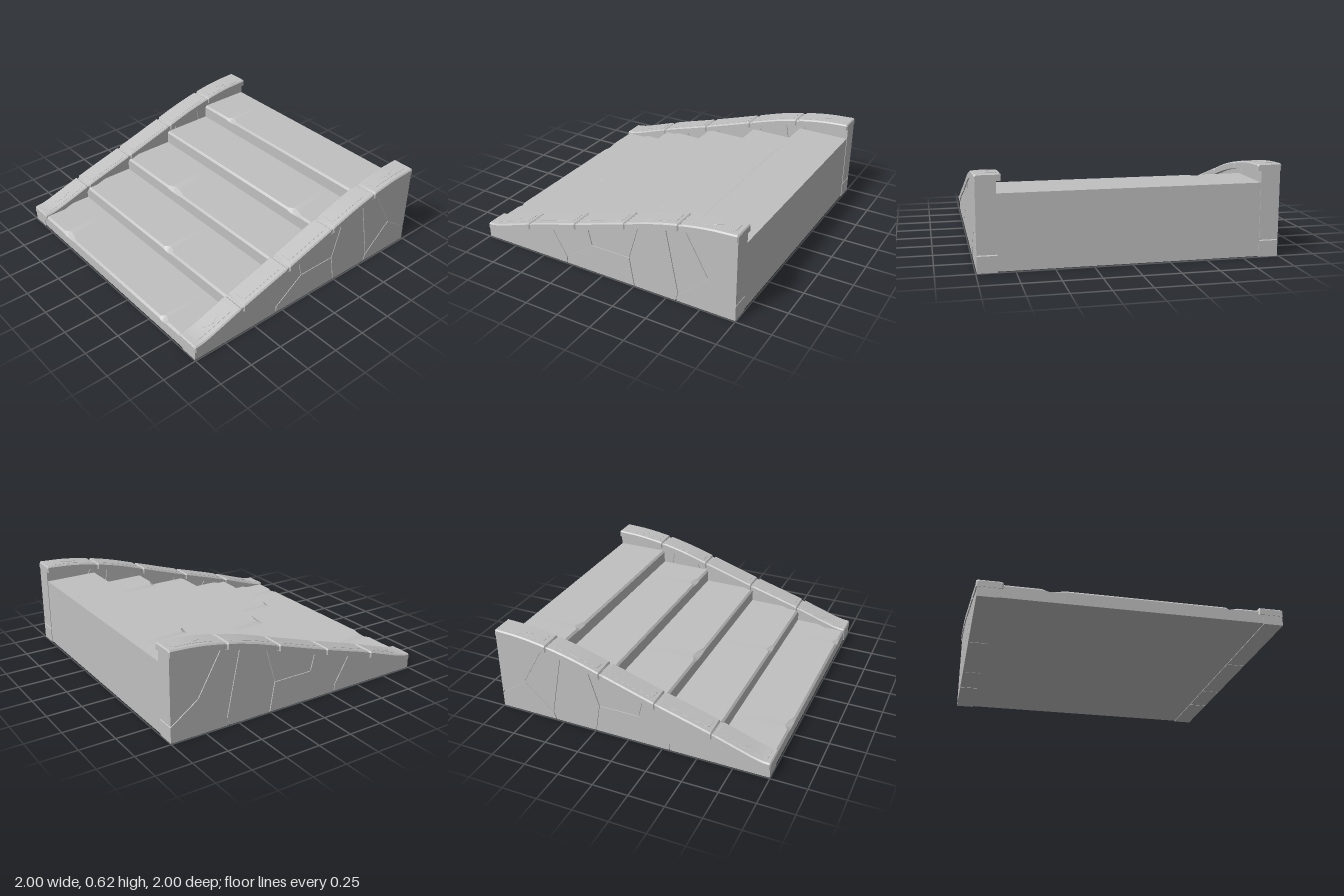
import * as THREE from 'three';
import { toCreasedNormals } from 'three/addons/utils/BufferGeometryUtils.js';

// Height of the balustrade top along z
const rail = new THREE.CubicInterpolant(
  [-1, -0.8, -0.6, -0.4, -0.2, 0.2, 0.6, 0.8, 0.9, 0.95, 1],
  [0.625, 0.613, 0.582, 0.535, 0.473, 0.347, 0.227, 0.16, 0.128, 0.117, 0.113], 1);
const railY = z => rail.evaluate(z)[0];

// Solid skin through a row of closed cross-sections
function loft(sections) {
  const pos = [], n = sections[0].length;
  const tri = (a, b, c) => pos.push(...a, ...b, ...c);
  for (let i = 0; i < sections.length - 1; i++) {
    for (let j = 0; j < n; j++) {
      const k = (j + 1) % n, s = sections[i], t = sections[i + 1];
      tri(s[j], s[k], t[k]);
      tri(s[j], t[k], t[j]);
    }
  }
  const first = sections[0], last = sections[sections.length - 1];
  for (let j = 1; j < n - 1; j++) {
    tri(first[0], first[j + 1], first[j]);
    tri(last[0], last[j], last[j + 1]);
  }
  const g = new THREE.BufferGeometry();
  g.setAttribute('position', new THREE.Float32BufferAttribute(pos, 3));
  return toCreasedNormals(g, 0.5);
}

// Chamfered bar section at z, centred on x = 0
function barSection(z, w, top, bottom, b) {
  return [[w, bottom, z], [w, top - b, z], [w - b, top, z],
    [b - w, top, z], [-w, top - b, z], [-w, bottom, z]];
}

// Bar following the rail curve, its ends chamfered by e
function railBar(z0, z1, w, rise, depth, b, e) {
  const sections = [], steps = 10;
  const add = (z, s) => {
    const y = railY(z) + rise;
    sections.push(barSection(z, w - s, y - s, y - depth, b));
  };
  add(z0, e);
  for (let i = 0; i <= steps; i++) add(z0 + e + (z1 - z0 - 2 * e) * i / steps, 0);
  add(z1, e);
  return loft(sections);
}

// Thin plate on the rail top; outline lists [z, half width]
function railPlate(outline, rise) {
  return loft(outline.map(([z, w]) =>
    barSection(z, w, railY(z) + rise, railY(z) - 0.006, 0.0005)));
}

// One step with a chamfered and chipped front edge
function stepGeometry(front, back, top, chips) {
  const half = 0.866, cuts = [[-half, 0.014, 0.014]];
  for (const [x, h] of chips) {
    cuts.push([x - h, 0.014, 0.014], [x - h * 0.4, 0.043, 0.022],
      [x + h * 0.4, 0.034, 0.02], [x + h, 0.014, 0.014]);
  }
  cuts.push([half, 0.014, 0.014]);
  return loft(cuts.map(([x, c, d]) => [[x, 0.005, back], [x, top, back],
    [x, top, front - c], [x, top - d, front], [x, 0.005, front]]));
}

// Points along the underside of the rail
function underRail(z0, z1, count = 12) {
  return Array.from({ length: count + 1 }, (_, i) => {
    const z = z0 + (z1 - z0) * i / count;
    return [z, railY(z) - 0.044];
  });
}

// Shrinks an outline by d to open a joint around it
function inset(points, d) {
  const p = points.map(q => new THREE.Vector2(...q));
  if (THREE.ShapeUtils.area(p) < 0) p.reverse();
  return p.map((q, i) => {
    const a = q.clone().sub(p[(i + p.length - 1) % p.length]).normalize();
    const b = p[(i + 1) % p.length].clone().sub(q).normalize();
    const na = new THREE.Vector2(-a.y, a.x), nb = new THREE.Vector2(-b.y, b.x);
    const m = na.clone().add(nb).multiplyScalar(d / (1 + na.dot(nb)));
    const r = q.clone().add(m);
    if (q.y === 0) r.y = 0;
    return r;
  });
}

// Slab from a (z, y) outline, thickness centred on x = 0
function slab(points, thickness) {
  const g = new THREE.ExtrudeGeometry(new THREE.Shape(points),
    { depth: thickness, bevelEnabled: false });
  g.translate(0, 0, -thickness / 2);
  return g.rotateY(-Math.PI / 2);
}

export function createModel() {
  const model = new THREE.Group();
  model.name = 'stoneStaircase';
  const stone = new THREE.MeshStandardMaterial({ color: 0xc0c0c0 });
  stone.name = 'grey stone';
  const add = (parent, name, geometry, x = 0) => {
    const mesh = new THREE.Mesh(geometry, stone);
    mesh.name = name;
    mesh.position.x = x;
    parent.add(mesh);
  };

  // Steps, with [x, half width] of each chip
  const chips = [[[-0.52, 0.075], [0.65, 0.04]], [[0.19, 0.05]],
    [[-0.25, 0.09]], [[0.62, 0.065]], [[-0.53, 0.055]]];
  const fronts = [0.993, 0.605, 0.205, -0.195, -0.595, -0.993];
  chips.forEach((c, i) => add(model, 'step' + (i + 1),
    stepGeometry(fronts[i], fronts[i + 1], 0.1 * (i + 1), c)));

  // Side wall stones as (z, y) outlines
  const stones = [
    [...underRail(0.41, 1), [1, 0], [0.3, 0], [0.3, 0.05]],
    [...underRail(0.11, 0.41), [0.3, 0.05], [0.08, 0.21]],
    [[0.3, 0], [-0.25, 0], [-0.215, 0.21], [0.08, 0.21], [0.3, 0.05]],
    [...underRail(-0.29, 0.11), [0.08, 0.21], [-0.215, 0.21]],
    [...underRail(-0.495, -0.29), [-0.215, 0.21], [-0.25, 0], [-0.565, 0], [-0.585, 0.055]],
    [...underRail(-0.635, -0.495), [-0.585, 0.055], [-0.8, 0.25]],
    [...underRail(-1, -0.635), [-0.8, 0.25], [-1, 0.11]],
    [[-1, 0], [-0.565, 0], [-0.585, 0.055], [-0.8, 0.25], [-1, 0.11]],
  ];
  const core = [...underRail(-0.988, 0.988, 40), [0.988, 0.005], [-0.988, 0.005]]
    .map(q => new THREE.Vector2(...q));
  const joints = [-1, -0.595, -0.195, 0.205, 0.605, 1];

  for (const side of [1, -1]) {
    const wall = new THREE.Group();
    wall.name = side > 0 ? 'leftBalustrade' : 'rightBalustrade';
    model.add(wall);
    add(wall, 'wallCore', slab(core, 0.116), side * 0.927);
    for (const s of stones) add(wall, 'wallStone', slab(inset(s, 0.003), 0.13), side * 0.927);
    add(wall, 'copingBed', railBar(-0.99, 0.99, 0.077, -0.009, 0.036, 0.006, 0.002), side * 0.915);

    // Coping stones with raised panels, and diamonds on the end stones
    for (let i = 0; i < 5; i++) {
      const z0 = joints[i] + (i ? 0.008 : 0), z1 = joints[i + 1] - (i < 4 ? 0.008 : 0);
      const mid = (z0 + z1) / 2;
      add(wall, 'copingStone', railBar(z0, z1, 0.085, 0, 0.048, 0.009, 0.008), side * 0.915);
      const panel = [[mid - 0.16, 0.036], [mid - 0.145, 0.052]];
      for (let k = 1; k < 8; k++) panel.push([mid - 0.145 + 0.29 * k / 8, 0.052]);
      panel.push([mid + 0.145, 0.052], [mid + 0.16, 0.036]);
      add(wall, 'copingPanel', railPlate(panel, 0.002), side * 0.908);
      if (i === 0 || i === 4) {
        add(wall, 'diamond', railPlate(
          [[mid - 0.06, 0.001], [mid, 0.028], [mid + 0.06, 0.001]], 0.004), side * 0.912);
      }
    }
  }
  return model;
}
